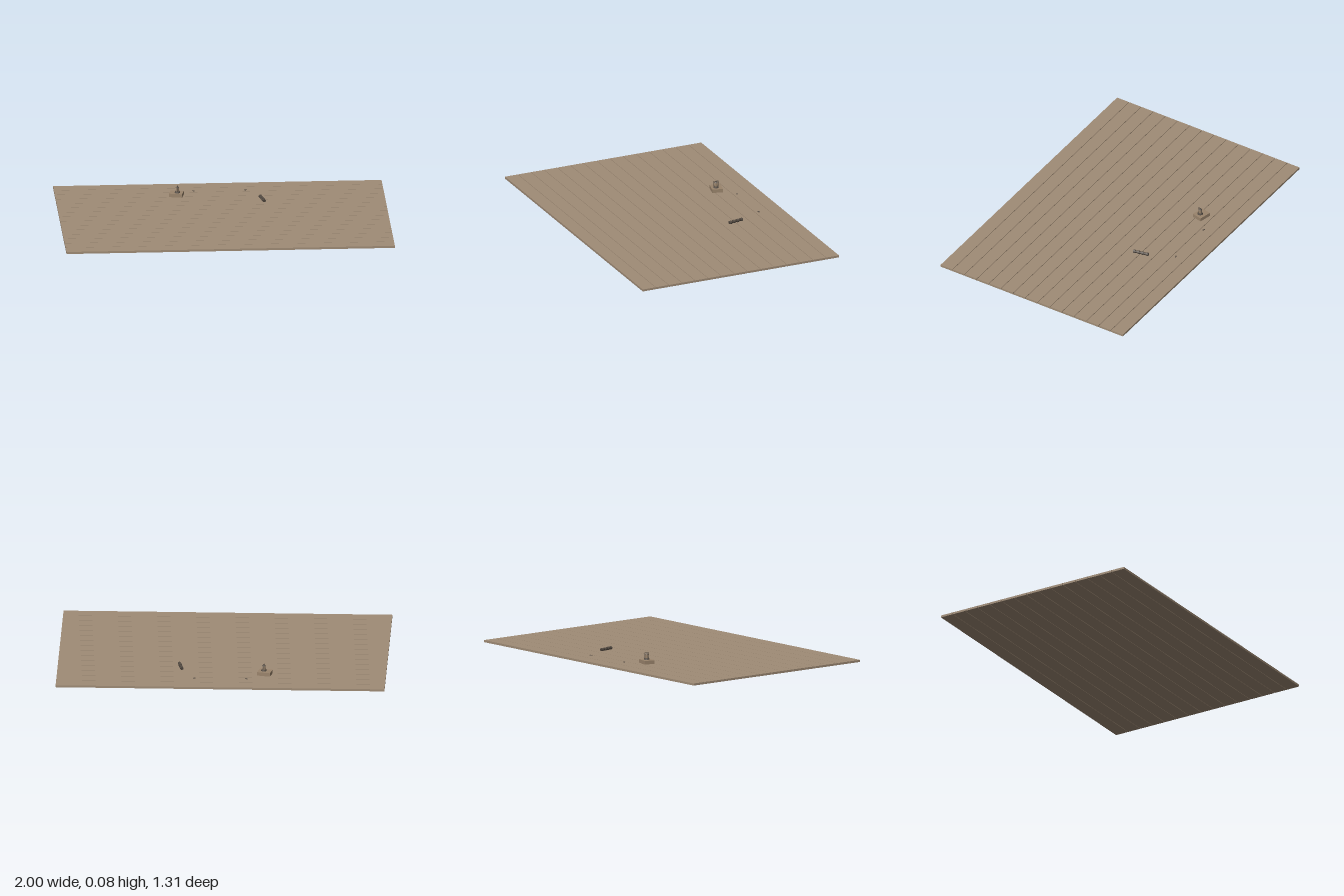
import * as THREE from 'three';

export function createModel() {
  const model = new THREE.Group();
  const mat = (name, color) => Object.assign(new THREE.MeshStandardMaterial({ color }), { name });
  const wood = mat('weathered wood', 0xa08c76);
  const crate = mat('block wood', 0x9a846c);
  const metal = mat('dark metal', 0x5a5148);
  const leather = mat('dark leather', 0x4a4139);

  const add = (parent, name, geo, material, x = 0, y = 0, z = 0) => {
    const mesh = new THREE.Mesh(geo, material);
    mesh.name = name;
    mesh.position.set(x, y, z);
    parent.add(mesh);
    return mesh;
  };
  const group = (name, x, y, z, turn) => {
    const g = new THREE.Group();
    g.name = name;
    g.position.set(x, y, z);
    g.rotation.y = turn;
    model.add(g);
    return g;
  };

  // Deck of planks with narrow seams
  const count = 15, depth = 1.316, pitch = depth / count, top = 0.013;
  for (let i = 0; i < count; i++) {
    add(model, 'plank', new THREE.BoxGeometry(2, top, pitch - 0.003), wood,
      0, top / 2, -depth / 2 + pitch * (i + 0.5));
  }

  // Low block carrying a small lantern
  const stand = group('lanternStand', -0.264, top, -0.418, -0.23);
  add(stand, 'block', new THREE.BoxGeometry(0.08, 0.022, 0.066), crate, 0, 0.011, 0);
  const lantern = new THREE.Group();
  lantern.name = 'lantern';
  lantern.position.set(0.007, 0.022, 0.003);
  stand.add(lantern);
  add(lantern, 'lanternBase', new THREE.CylinderGeometry(0.015, 0.017, 0.009, 12), metal, 0, 0.0045, 0);
  add(lantern, 'lanternBody', new THREE.CylinderGeometry(0.009, 0.009, 0.022, 12), crate, 0, 0.02, 0);
  add(lantern, 'lanternCap', new THREE.CylinderGeometry(0.007, 0.011, 0.006, 12), metal, 0, 0.034, 0);
  for (const side of [-1, 1]) {
    add(lantern, 'handlePost', new THREE.CylinderGeometry(0.0015, 0.0015, 0.031, 6), metal, 0, 0.0235, side * 0.013);
  }
  add(lantern, 'handleBow', new THREE.BoxGeometry(0.003, 0.003, 0.028), metal, 0, 0.041, 0);

  // Bound roll lying on the deck
  const roll = group('roll', 0.252, top + 0.008, -0.311, 0.2);
  const barrel = (name, radius, length, material, z) => {
    add(roll, name, new THREE.CylinderGeometry(radius, radius, length, 10), material, 0, 0, z).rotation.x = Math.PI / 2;
  };
  barrel('rollCore', 0.008, 0.1, leather, 0);
  for (const z of [-0.04, -0.012, 0.016, 0.042]) barrel('rollBand', 0.0105, 0.013, metal, z);

  // Two tiny fittings near the rear edge
  for (const [x, turn] of [[-0.155, -0.4], [0.162, 0.5]]) {
    const fitting = group('fitting', x, top, -0.505, turn);
    add(fitting, 'fittingPin', new THREE.BoxGeometry(0.014, 0.004, 0.006), metal, 0, 0.002, 0);
  }

  return model;
}
